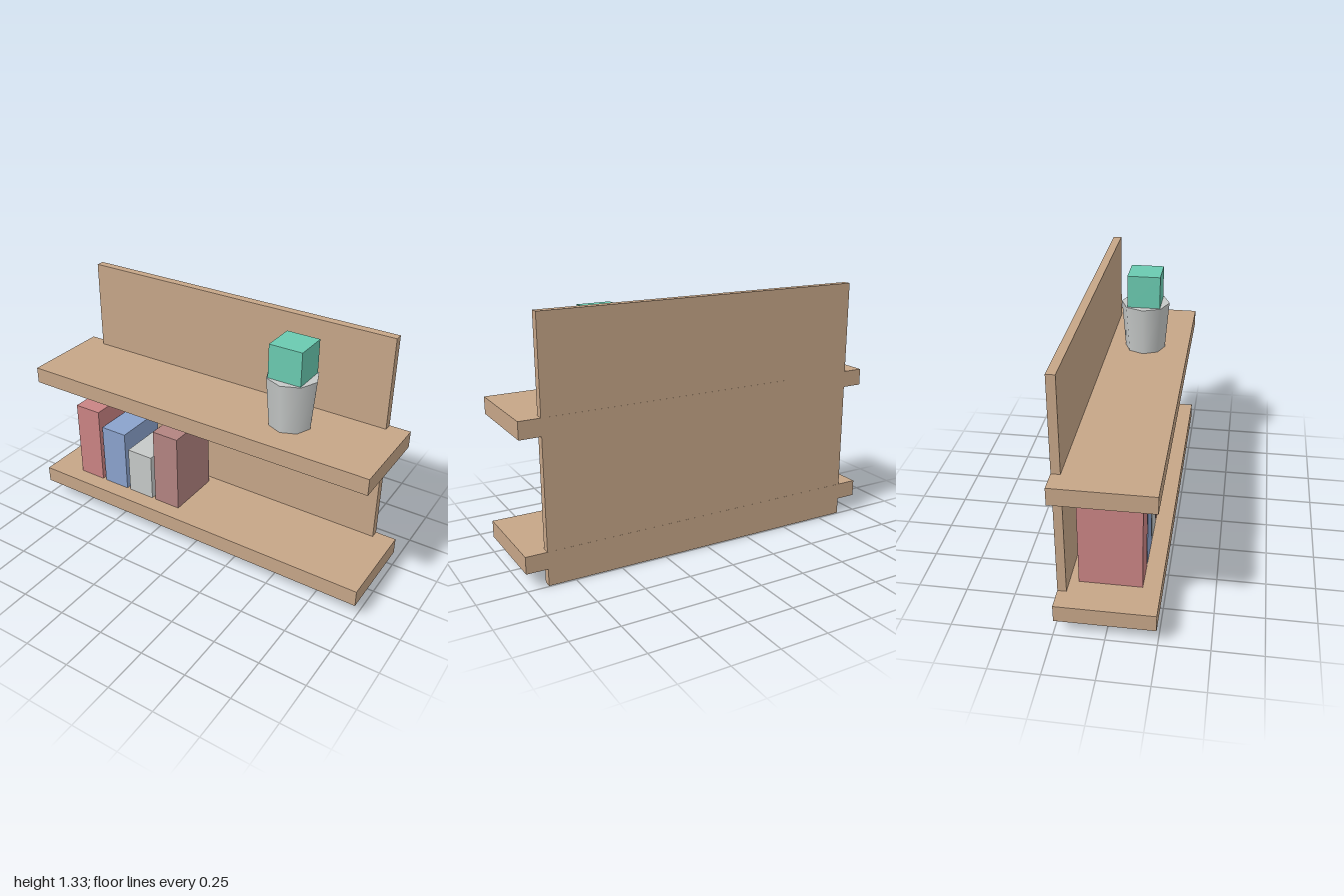
import * as THREE from 'three';

const mat = (name, color) => {
  const m = new THREE.MeshStandardMaterial({ color });
  m.name = name;
  return m;
};

export function createModel() {
  const wood = mat('wood', 0xc5a587);
  const red = mat('red cover', 0xc98383);
  const blue = mat('blue cover', 0x8aa2cc);
  const grey = mat('light grey', 0xc5c8c7);
  const mauve = mat('mauve cover', 0xb28380);
  const green = mat('plant green', 0x6acab0);

  const model = new THREE.Group();
  model.name = 'wallShelf';

  // Adds a mesh whose underside sits at height y
  const add = (name, geometry, height, material, x, y, z) => {
    const mesh = new THREE.Mesh(geometry, material);
    mesh.name = name;
    mesh.position.set(x, y + height / 2, z);
    model.add(mesh);
  };
  const box = (name, w, h, d, material, x, y, z) =>
    add(name, new THREE.BoxGeometry(w, h, d), h, material, x, y, z);

  // Back board and two shelves flush with its rear
  box('backBoard', 1.778, 1.333, 0.044, wood, 0, 0, -0.222);
  box('lowerShelf', 2, 0.089, 0.489, wood, 0, 0.089, 0);
  box('upperShelf', 2, 0.089, 0.489, wood, 0, 0.756, 0);

  // Row of books on the lower shelf
  [[0.444, red], [0.356, blue], [0.267, grey], [0.444, mauve]].forEach(([h, material], i) =>
    box(`book${i + 1}`, 0.156, h, 0.311, material, -0.733 + i * 0.1778, 0.178, 0));

  // Eight-sided pot with a block plant
  add('pot', new THREE.CylinderGeometry(0.133, 0.111, 0.267, 8), 0.267, grey, 0.465, 0.844, 0);
  box('plant', 0.178, 0.178, 0.178, green, 0.465, 1.111, 0);

  return model;
}
